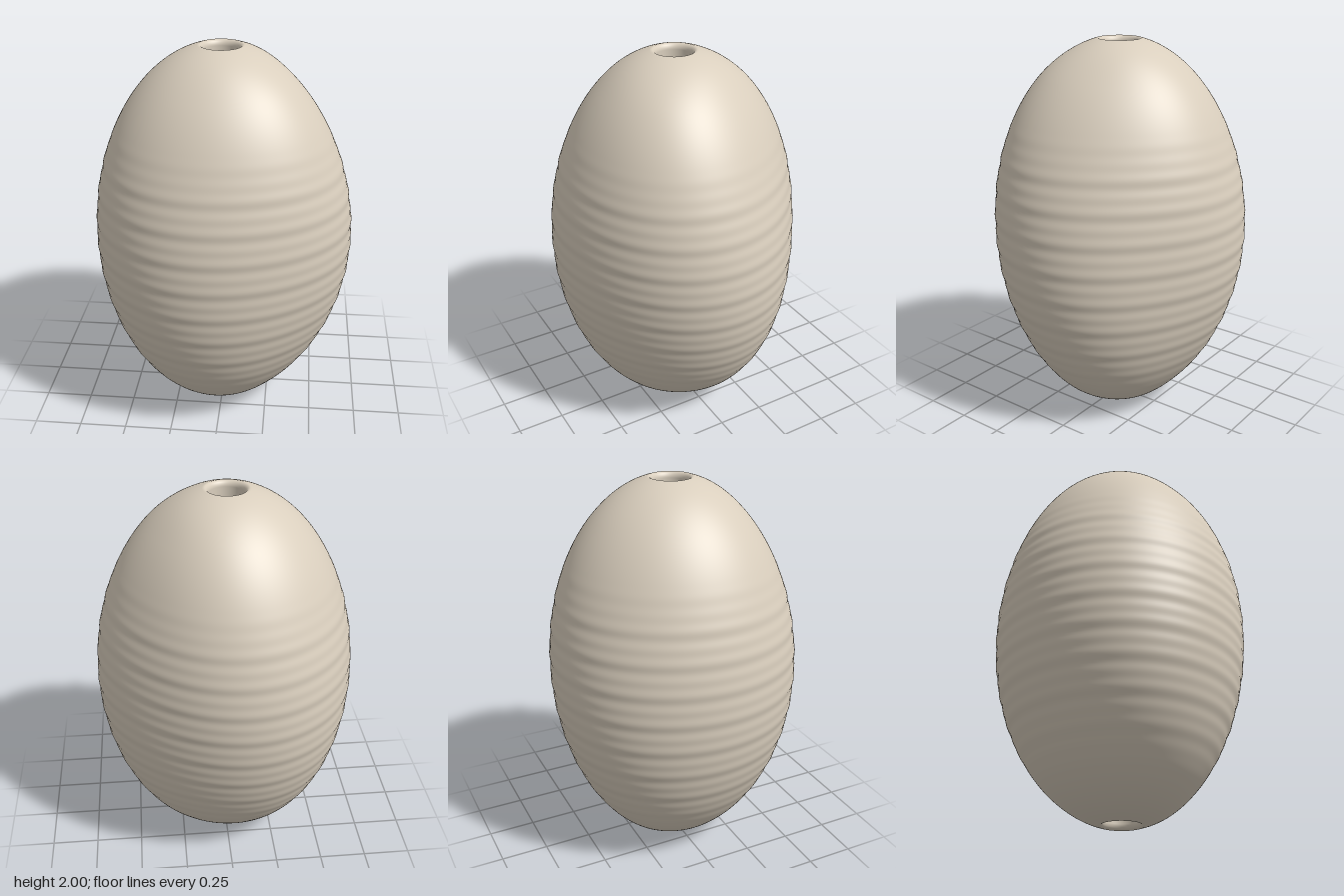
import * as THREE from 'three';
import { mergeVertices } from 'three/addons/utils/BufferGeometryUtils.js';

const RADIUS = 0.662, HALF = 1.015, HOLE = 0.09, RIM = 0.03;
const CENTRE_X = -0.016, CENTRE_Z = 0.008;

// Uneven cross-section, turning slowly with height
function lobes(angle, y) {
  const a = angle + 0.5 * (y - 1);
  return 0.0125 * Math.cos(2 * a) - 0.0075 * Math.sin(2 * a)
    + 0.0147 * Math.cos(3 * a) - 0.0065 * Math.sin(3 * a) + 0.003 * Math.cos(4 * a);
}

// Fine horizontal ridges, fading out towards both ends
function ridges(y) {
  const p = (2 * Math.PI * (y - 0.94)) / 0.152;
  const fade = THREE.MathUtils.smoothstep(y, 0.1, 0.45) * (1 - THREE.MathUtils.smoothstep(y, 1.35, 1.65));
  return fade * (0.0016 * Math.sin(p) + 0.0015 * Math.sin(2 * p));
}

export function createModel() {
  const model = new THREE.Group();
  const clay = new THREE.MeshStandardMaterial({ color: 0xd9cebd });
  clay.name = 'pale clay';

  // Closed profile: outside from bottom to top, then down through the bore
  const points = [];
  const end = Math.asin(1 / HALF), rings = 280;
  for (let i = 0; i <= rings; i++) {
    const t = -end + (2 * end * i) / rings;
    points.push(new THREE.Vector2(RADIUS * Math.cos(t), 1 + HALF * Math.sin(t)));
  }
  const lip = points[rings].x - HOLE;
  for (let i = 1; i <= 6; i++) {
    const t = (i / 6) * Math.PI / 2;
    points.push(new THREE.Vector2(HOLE + lip * (1 - Math.sin(t)), 2 - RIM * (1 - Math.cos(t))));
  }
  for (let i = 1; i < 12; i++) points.push(new THREE.Vector2(HOLE, 2 - RIM - (2 - 2 * RIM) * i / 12));
  for (let i = 6; i >= 0; i--) {
    const t = (i / 6) * Math.PI / 2;
    points.push(new THREE.Vector2(HOLE + lip * (1 - Math.sin(t)), RIM * (1 - Math.cos(t))));
  }

  // Push the lathed surface in and out; the bore stays round
  let geometry = new THREE.LatheGeometry(points, 112);
  const pos = geometry.attributes.position;
  for (let i = 0; i < pos.count; i++) {
    const x = pos.getX(i), y = pos.getY(i), z = pos.getZ(i);
    const r = Math.hypot(x, z), angle = Math.atan2(-z, x);
    const weight = THREE.MathUtils.smoothstep(r, 0.12, 0.4);
    const s = 1 + weight * (lobes(angle, y) + ridges(y)) / RADIUS;
    pos.setXYZ(i, x * s + CENTRE_X, y, z * s + CENTRE_Z);
  }
  geometry.deleteAttribute('uv');
  geometry.deleteAttribute('normal');
  geometry = mergeVertices(geometry, 1e-5);
  geometry.computeVertexNormals();

  const bead = new THREE.Mesh(geometry, clay);
  bead.name = 'ridgedBead';
  model.add(bead);
  return model;
}
